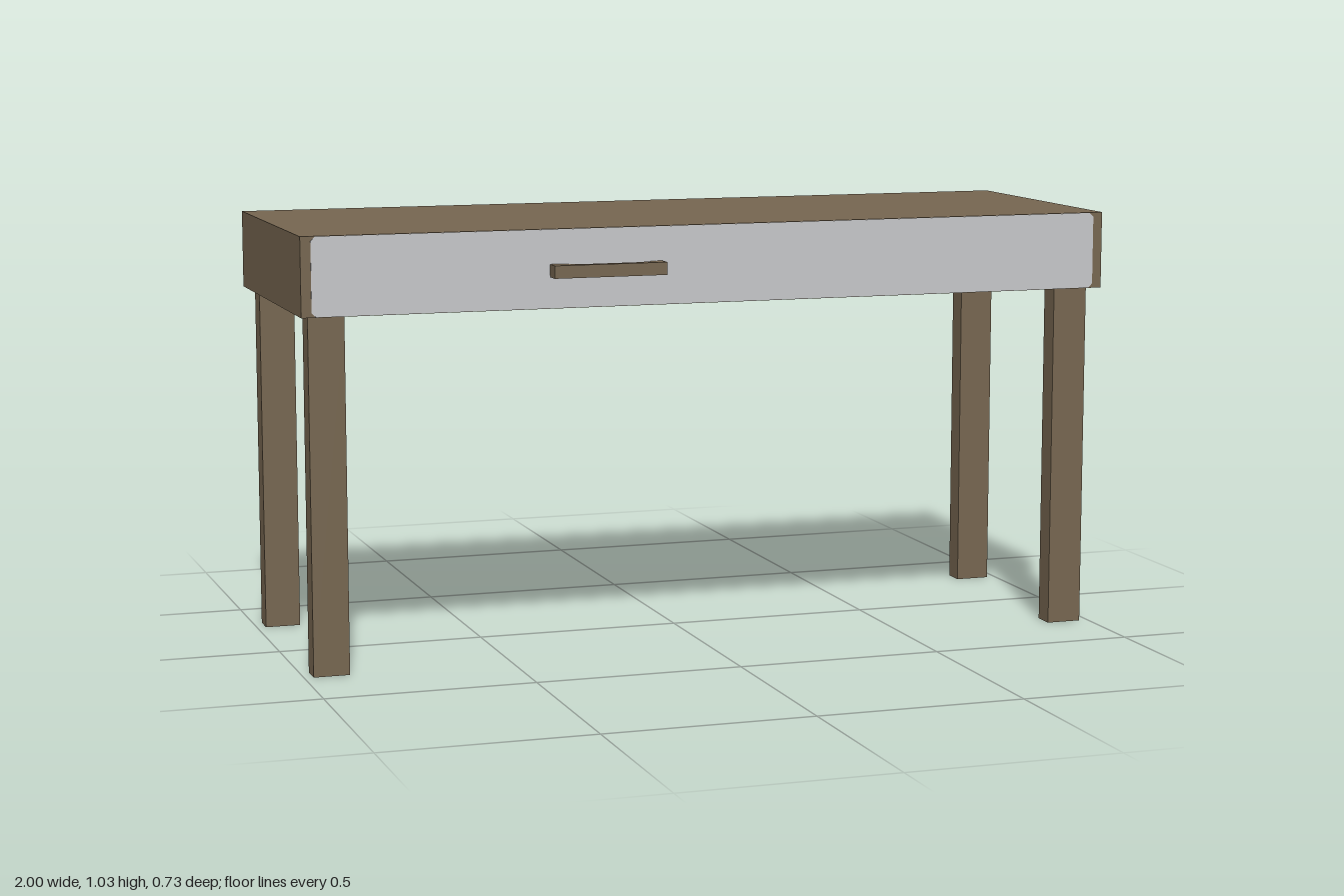
import * as THREE from 'three';

export function createModel() {
  const wood = new THREE.MeshStandardMaterial({ name: 'brown wood', color: 0x766650 });
  const grey = new THREE.MeshStandardMaterial({ name: 'light grey', color: 0xc6c7c9 });
  const desk = new THREE.Group();
  desk.name = 'desk';

  const add = (name, geometry, material) => {
    const mesh = new THREE.Mesh(geometry, material);
    mesh.name = name;
    desk.add(mesh);
    return mesh;
  };
  // Box given by its min and max corners
  const box = (name, material, [x0, y0, z0], [x1, y1, z1]) =>
    add(name, new THREE.BoxGeometry(x1 - x0, y1 - y0, z1 - z0), material)
      .position.set((x0 + x1) / 2, (y0 + y1) / 2, (z0 + z1) / 2);

  // Deep table top
  box('tableTop', wood, [-1, 0.845, -0.367], [1, 1.031, 0.327]);

  // Four straight legs
  for (const [side, s] of [['Left', 1], ['Right', -1]]) {
    const x0 = Math.min(s * 0.892, s * 0.978), x1 = x0 + 0.086;
    box('front' + side + 'Leg', wood, [x0, 0, 0.235], [x1, 0.845, 0.29]);
    box('back' + side + 'Leg', wood, [x0, 0, -0.332], [x1, 0.845, -0.277]);
  }

  // Thin drawer front with slightly clipped corners
  const w = 0.976, y0 = 0.846, y1 = 1.03, c = 0.01;
  const panel = new THREE.Shape([
    [-w + c, y0], [w - c, y0], [w, y0 + c], [w, y1 - c],
    [w - c, y1], [-w + c, y1], [-w, y1 - c], [-w, y0 + c],
  ].map(([x, y]) => new THREE.Vector2(x, y)));
  add('drawerFront', new THREE.ExtrudeGeometry(panel, { depth: 0.002, bevelEnabled: false }), grey)
    .position.z = 0.3265;

  // Handle: straight outer edge, hollowed on the drawer side
  const grip = new THREE.Shape([
    [-0.137, 0.327], [-0.07, 0.348], [0.07, 0.348], [0.137, 0.327], [0.137, 0.367], [-0.137, 0.367],
  ].map(([x, z]) => new THREE.Vector2(x, z)));
  const handle = new THREE.ExtrudeGeometry(grip, { depth: 0.03, bevelEnabled: false });
  handle.rotateX(Math.PI / 2);
  add('drawerHandle', handle, wood).position.set(-0.275, 0.949, 0);

  return desk;
}
